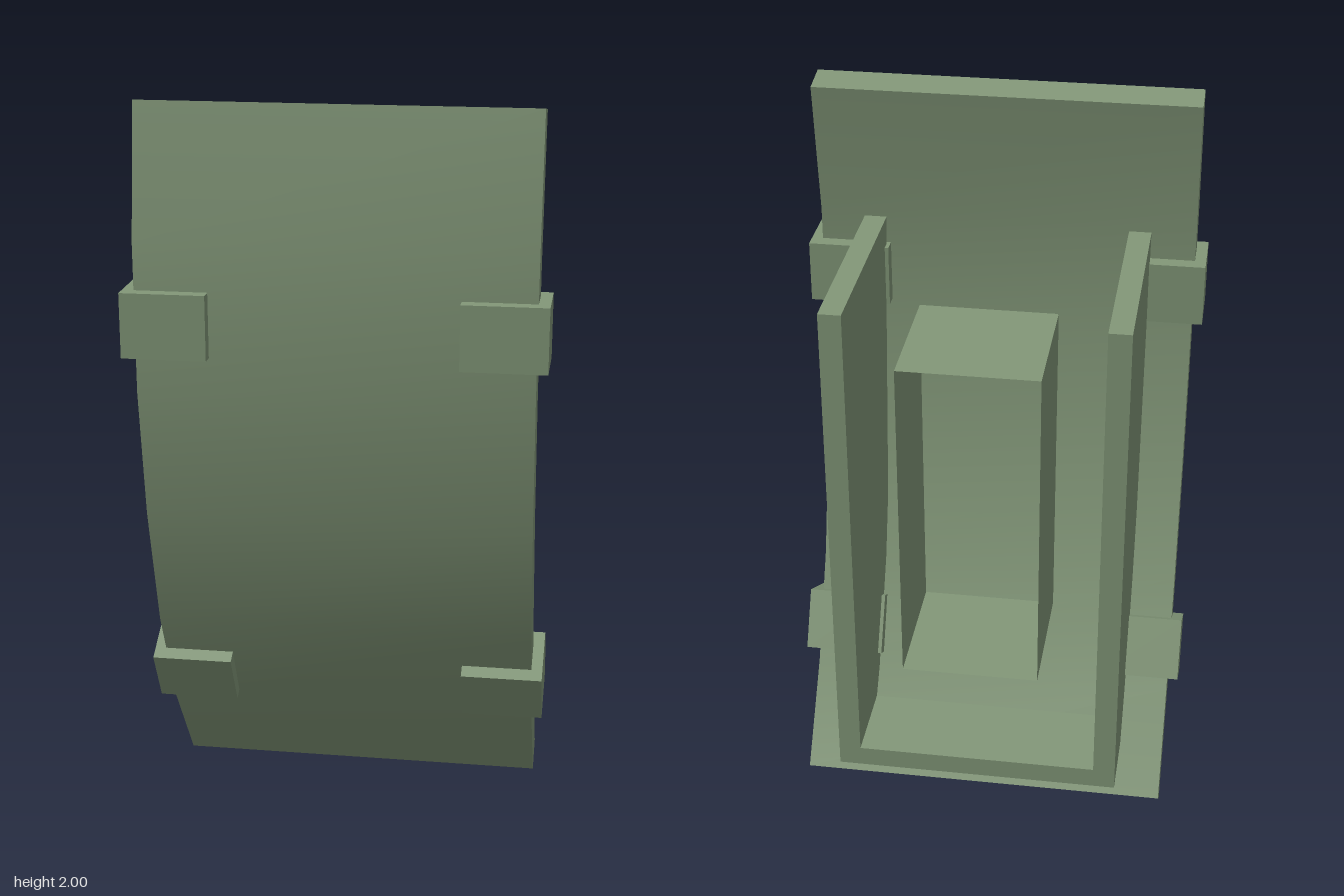
import * as THREE from 'three';
import { toCreasedNormals } from 'three/addons/utils/BufferGeometryUtils.js';

export function createModel() {
  const model = new THREE.Group();
  model.name = 'curvedShield';
  const material = new THREE.MeshStandardMaterial({ color: 0x839879 });
  const openMaterial = new THREE.MeshStandardMaterial({ color: 0x839879, side: THREE.DoubleSide });

  const add = (name, geometry, x, y, z, mat = material) => {
    const mesh = new THREE.Mesh(geometry, mat);
    mesh.name = name;
    mesh.position.set(x, y, z);
    model.add(mesh);
    return mesh;
  };

  // Extrudes a [z, y] side profile across x, centred on x = 0
  const sideExtrude = (points, width) => {
    const shape = new THREE.Shape(points.map(([z, y]) => new THREE.Vector2(z, y)));
    const geometry = new THREE.ExtrudeGeometry(shape, { depth: width, bevelEnabled: false });
    geometry.rotateY(-Math.PI / 2).translate(width / 2, 0, 0);
    return geometry;
  };

  // Curved shield plate
  const outer = [[0.30, 2.0], [0.355, 1.65], [0.355, 1.26], [0.30, 0.91], [0.20, 0.565], [0.045, 0.26], [-0.15, 0]];
  const inner = [[0.21, 1.985], [0.265, 1.62], [0.265, 1.28], [0.21, 0.93], [0.11, 0.60], [-0.035, 0.31], [-0.22, 0.06]];
  const plate = sideExtrude([...outer, ...inner.slice().reverse()], 1.02);
  add('shieldPlate', toCreasedNormals(plate, 0.6), 0, 0, 0);

  // Side walls, following the inner curve at the bottom
  const wall = sideExtrude(
    [[-0.33, 1.605], [0.265, 1.605], [0.225, 1.34], [0.165, 0.78], [0.11, 0.58], [-0.035, 0.30], [-0.13, 0.18], [-0.33, 0.18]],
    0.06
  );

  for (const side of [-1, 1]) {
    const label = side > 0 ? 'left' : 'right';
    add(`${label}SideWall`, wall, side * 0.36, 0, 0);

    // Edge clamps, the lower one tilted with the curve
    add(`${label}UpperClamp`, new THREE.BoxGeometry(0.22, 0.17, 0.165), side * 0.43, 1.445, 0.308);
    const lower = add(`${label}LowerClamp`, new THREE.BoxGeometry(0.22, 0.17, 0.168), side * 0.43, 0.4, 0.06);
    lower.rotation.x = 0.5;
  }

  // Floor bar joining the walls
  const floor = sideExtrude([[-0.33, 0.18], [-0.33, 0.237], [-0.09, 0.237], [-0.13, 0.18]].reverse(), 0.66);
  add('floorBar', floor, 0, 0, 0);

  // Thin-walled arm sleeve, open at back and front
  const w = 0.365, h = 0.915, d = 0.363, cx = 0.006, cy = 1.037, cz = -0.21;
  for (const s of [-1, 1]) {
    const panel = new THREE.PlaneGeometry(d, h).rotateY((s * Math.PI) / 2);
    add(s > 0 ? 'sleeveLeftPanel' : 'sleeveRightPanel', panel, cx + (s * w) / 2, cy, cz, openMaterial);
    const cap = new THREE.PlaneGeometry(w, d).rotateX((-s * Math.PI) / 2);
    add(s > 0 ? 'sleeveTopPanel' : 'sleeveBottomPanel', cap, cx, cy + (s * h) / 2, cz, openMaterial);
  }

  return model;
}
